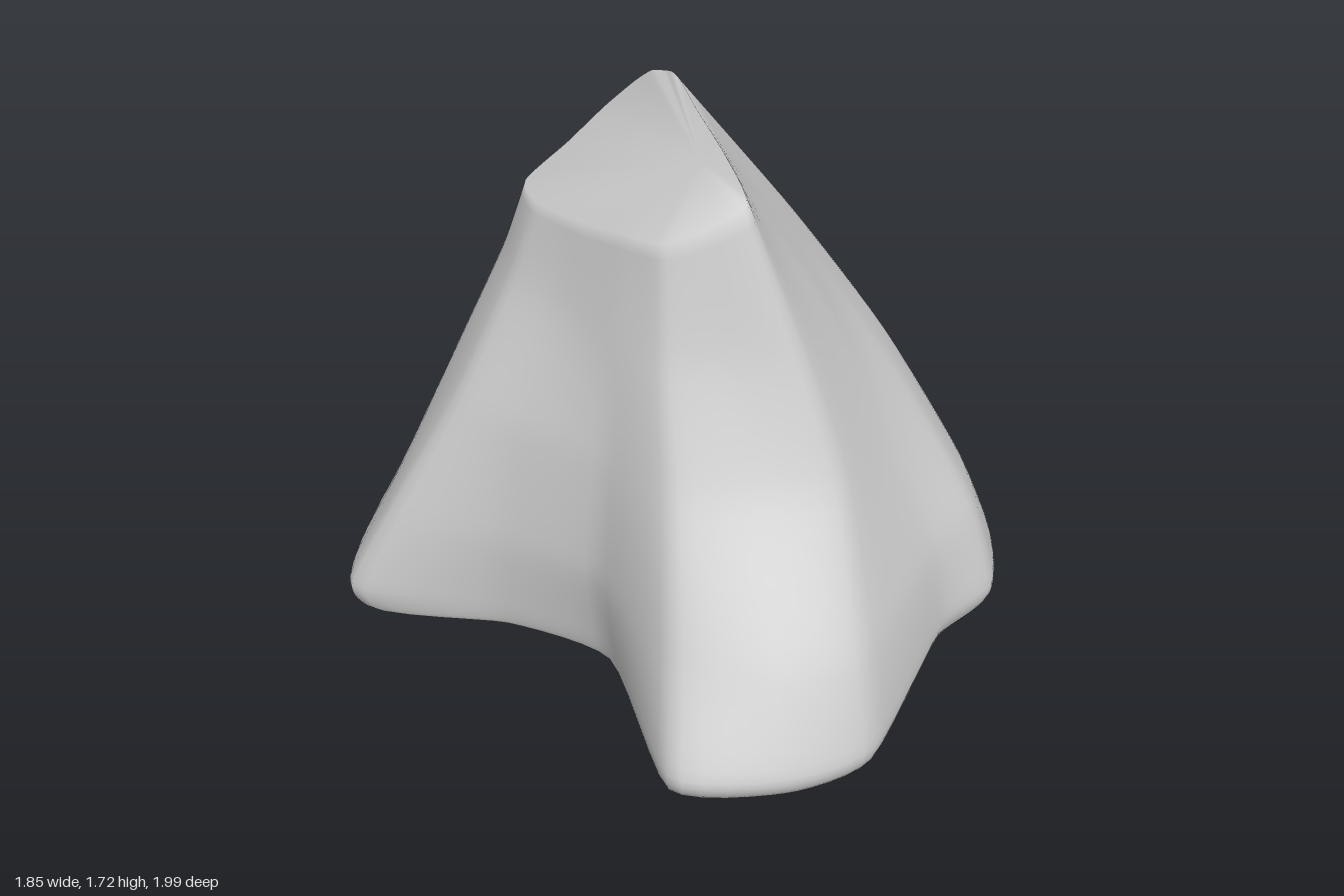
import * as THREE from 'three';

// Horizontal outlines [x, z], each starting at the front ridge and turning towards +x, then the back.
const foot = [[-.47, .99], [.13, .87], [.4, .9], [.67, .73], [.92, .35], [.69, -.05], [.69, -.5], [.88, -.68],
  [.6, -.89], [-.1, -.985], [-.46, -.99], [-.83, -.77], [-.62, -.34], [-.56, .06], [-.92, .57], [-.73, .86]];
const low = [[-.4, .9], [.13, .81], [.42, .79], [.65, .6], [.8, .28], [.72, -.06], [.7, -.46], [.72, -.64],
  [.48, -.83], [-.1, -.89], [-.42, -.87], [-.73, -.67], [-.62, -.3], [-.58, .05], [-.77, .47], [-.63, .74]];
const middle = [[-.22, .69], [.13, .6], [.4, .5], [.6, .32], [.72, .03], [.73, -.14], [.7, -.4], [.63, -.54],
  [.4, -.71], [-.05, -.75], [-.32, -.72], [-.55, -.52], [-.55, -.25], [-.53, .05], [-.58, .33], [-.43, .53]];
const shoulder = [[-.19, .52], [.1, .4], [.32, .23], [.52, .02], [.64, -.2], [.66, -.29], [.63, -.37], [.52, -.46],
  [.3, -.58], [0, -.61], [-.2, -.6], [-.36, -.44], [-.41, -.2], [-.45, .03], [-.46, .22], [-.36, .36]];
// Summit rim [x, y, z], sloping down to the back left
const summit = [[-.21, 1.61, .33], [-.08, 1.67, .15], [.05, 1.69, -.03], [.14, 1.72, -.16], [.17, 1.72, -.21],
  [.2, 1.7, -.26], [.21, 1.68, -.32], [.2, 1.63, -.38], [.14, 1.55, -.45], [0, 1.47, -.49], [-.18, 1.41, -.51],
  [-.27, 1.41, -.39], [-.33, 1.44, -.18], [-.37, 1.48, .03], [-.38, 1.5, .16], [-.32, 1.54, .25]];

const AROUND = 96, UP = 36;

function createRockGeometry() {
  const level = (points, y, s = 1) => points.map(([x, z]) => new THREE.Vector3(x * s, y, z * s));
  const levels = [
    level(foot, 0.004, 0.89), level(foot, 0.035, 0.965), level(foot, 0.13), level(low, 0.4),
    level(middle, 0.8), level(shoulder, 1.16), summit.map((p) => new THREE.Vector3(...p)),
  ];
  const rings = levels.map((pts) => new THREE.CatmullRomCurve3(pts, true, 'catmullrom', 0.3));

  // Skin the outlines with a soft curve from foot to summit
  const positions = [], index = [];
  for (let i = 0; i < AROUND; i++) {
    const column = new THREE.CatmullRomCurve3(rings.map((r) => r.getPoint(i / AROUND)), false, 'catmullrom', 0.35);
    for (let j = 0; j <= UP; j++) positions.push(...column.getPoint(j / UP).toArray());
  }
  // Slightly hollow underside and a tilted summit facet
  const bottom = positions.length / 3, top = bottom + 1;
  positions.push(0, 0.025, 0, -0.15, 1.65, 0.13);

  const row = UP + 1;
  for (let i = 0; i < AROUND; i++) {
    const a = i * row, b = ((i + 1) % AROUND) * row;
    for (let j = 0; j < UP; j++) index.push(a + j, b + j, a + j + 1, b + j, b + j + 1, a + j + 1);
    index.push(bottom, b, a, top, a + UP, b + UP);
  }
  const geometry = new THREE.BufferGeometry();
  geometry.setAttribute('position', new THREE.Float32BufferAttribute(positions, 3));
  geometry.setIndex(index);
  geometry.computeVertexNormals();
  return geometry;
}

export function createModel() {
  const group = new THREE.Group();
  group.name = 'rock';
  const rock = new THREE.Mesh(createRockGeometry(), new THREE.MeshStandardMaterial({ color: 0xcccccc }));
  rock.name = 'boulder';
  group.add(rock);
  return group;
}
